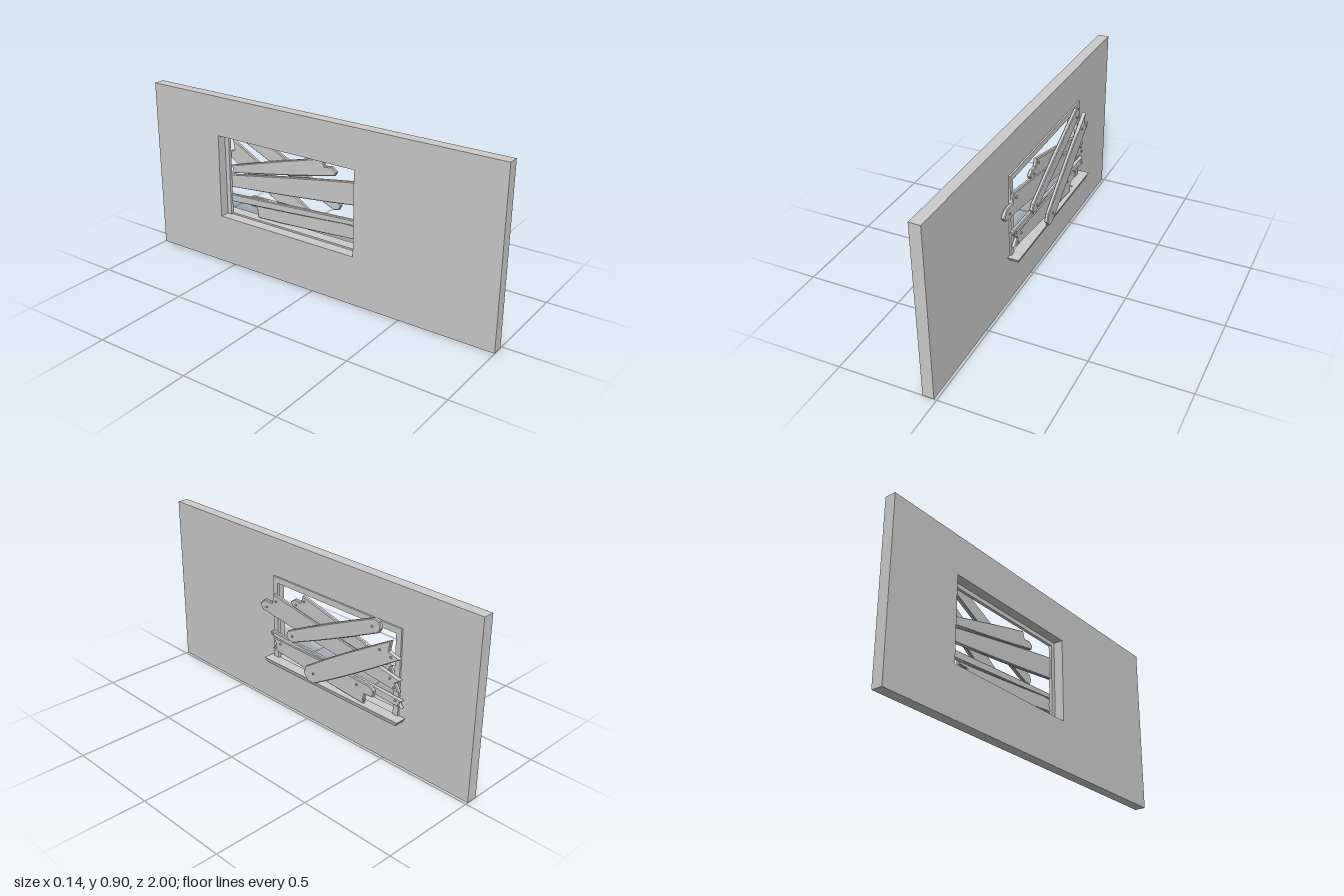
import * as THREE from 'three';

const material = new THREE.MeshStandardMaterial({ color: 0xcccccc, flatShading: true });
const lerp = THREE.MathUtils.lerp;

// Extrudes an outline drawn in (u, v) = (-z, y) outward along +x, starting at x0.
function slab(shape, x0, depth, bevel = 0) {
  const geometry = new THREE.ExtrudeGeometry(shape, {
    depth: depth - 2 * bevel, bevelEnabled: bevel > 0, bevelSize: bevel,
    bevelOffset: -bevel, bevelThickness: bevel, bevelSegments: 1,
  });
  geometry.translate(0, 0, x0 + bevel);
  geometry.rotateY(Math.PI / 2);
  return geometry;
}

function rect(Type, u0, v0, u1, v1) {
  return new Type().moveTo(u0, v0).lineTo(u1, v0).lineTo(u1, v1).lineTo(u0, v1).closePath();
}

function add(parent, name, geometry) {
  const mesh = new THREE.Mesh(geometry, material);
  mesh.name = name;
  parent.add(mesh);
  return mesh;
}

// Broken board ends: [inset, across], both in half widths, from lower to upper edge
const ends = {
  ragged: [[0.4, -1], [0, -0.6], [0.5, 0], [1.4, 0.1], [1.5, 1]],
  stepped: [[1.1, -1], [1, -0.05], [0.1, 0.05], [0, 0.7], [0.5, 1]],
  notched: [[0, -1], [0.9, 0.1], [0.1, 1]],
  rounded: [[0.8, -1], [0.1, -0.5], [0, 0.4], [0.7, 1]],
};
const THICK = 0.02;

// A board from one end to the other: position (u, v), width, back face x, broken shape
function makeBoard(name, from, to) {
  const group = new THREE.Group();
  group.name = name;
  const start = new THREE.Vector2(from.u, from.v);
  const along = new THREE.Vector2(to.u, to.v).sub(start);
  const length = along.length();
  along.normalize();
  const across = new THREE.Vector2(-along.y, along.x);
  const place = (s, t) => start.clone().addScaledVector(along, s).addScaledVector(across, t);
  const lean = u => lerp(from.x, to.x, (u - from.u) / (to.u - from.u));

  // Outline: lower edge, far end, upper edge, near end, with slightly bowed edges
  const edge = side => [0.3, 0.5, 0.7].map(f =>
    place(f * length, side * lerp(from.w, to.w, f) / 2 * (1 + 0.12 * Math.sin(Math.PI * f))));
  const tip = (end, s, direction) => ends[end.shape].map(([inset, t]) =>
    place(s + direction * inset * end.w / 2, t * end.w / 2));
  const outline = [...edge(-1), ...tip(to, length, -1), ...edge(1).reverse(), ...tip(from, 0, 1).reverse()];

  // Lean the board so each end sits at its own distance from the wall
  const geometry = slab(new THREE.Shape(outline), 0, THICK, 0.004);
  const pos = geometry.attributes.position;
  for (let i = 0; i < pos.count; i++) pos.setX(i, pos.getX(i) + lean(-pos.getZ(i)));
  geometry.computeVertexNormals();
  add(group, name + 'Plank', geometry);

  // Nail heads: one in a rounded end, two in the others
  for (const [end, s, direction] of [[from, 0, 1], [to, length, -1]]) {
    for (const t of end.shape === 'rounded' ? [0] : [-0.5, 0.5]) {
      const p = place(s + direction * end.w / 2 * (1.4 + t), t * end.w / 2);
      const nail = add(group, 'nail', new THREE.CylinderGeometry(0.005, 0.006, 0.009, 8));
      nail.rotation.z = -Math.PI / 2;
      nail.position.set(lean(p.x) + THICK + 0.002, p.y, -p.x);
    }
  }
  return group;
}

export function createModel() {
  const model = new THREE.Group();
  model.name = 'boardedWindow';

  // Wall with window opening
  const wall = rect(THREE.Shape, -1, 0, 1, 0.905);
  wall.holes.push(rect(THREE.Path, -0.24, 0.258, 0.58, 0.7));
  add(model, 'wall', slab(wall, -0.07, 0.057));

  // Window frame: top bar and two side bars
  const frame = new THREE.Group();
  frame.name = 'windowFrame';
  model.add(frame);
  add(frame, 'topBar', slab(rect(THREE.Shape, -0.245, 0.677, 0.585, 0.708), -0.02, 0.016));
  for (const u of [-0.245, 0.555]) {
    add(frame, 'sideBar', slab(rect(THREE.Shape, u, 0.25, u + 0.03, 0.677), -0.02, 0.016));
  }

  // Sill, narrowing toward its underside
  const sill = new THREE.BoxGeometry(0.058, 0.024, 0.89);
  const p = sill.attributes.position;
  for (let i = 0; i < p.count; i++) {
    if (p.getY(i) < 0) {
      p.setZ(i, p.getZ(i) * 0.965);
      if (p.getX(i) > 0) p.setX(i, p.getX(i) - 0.008);
    }
  }
  sill.computeVertexNormals();
  add(model, 'sill', sill).position.set(0.016, 0.255, -0.178);

  // Boards nailed over the window
  model.add(
    makeBoard('wideBoard',
      { u: -0.33, v: 0.57, w: 0.12, x: -0.012, shape: 'ragged' },
      { u: 0.605, v: 0.433, w: 0.065, x: -0.004, shape: 'notched' }),
    makeBoard('upperBoard',
      { u: -0.085, v: 0.655, w: 0.09, x: 0.006, shape: 'ragged' },
      { u: 0.56, v: 0.505, w: 0.04, x: -0.008, shape: 'notched' }),
    makeBoard('thinBoard',
      { u: -0.253, v: 0.402, w: 0.028, x: -0.006, shape: 'rounded' },
      { u: 0.617, v: 0.343, w: 0.04, x: -0.01, shape: 'notched' }),
    makeBoard('lowerBoard',
      { u: -0.24, v: 0.35, w: 0.066, x: -0.006, shape: 'notched' },
      { u: 0.462, v: 0.321, w: 0.112, x: 0.01, shape: 'stepped' }),
    makeBoard('upperDiagonalBoard',
      { u: -0.1, v: 0.44, w: 0.064, x: 0.025, shape: 'rounded' },
      { u: 0.492, v: 0.708, w: 0.072, x: 0.013, shape: 'rounded' }),
    makeBoard('lowerDiagonalBoard',
      { u: 0.045, v: 0.286, w: 0.095, x: 0.041, shape: 'rounded' },
      { u: 0.592, v: 0.622, w: 0.094, x: 0.018, shape: 'notched' }),
  );
  return model;
}
